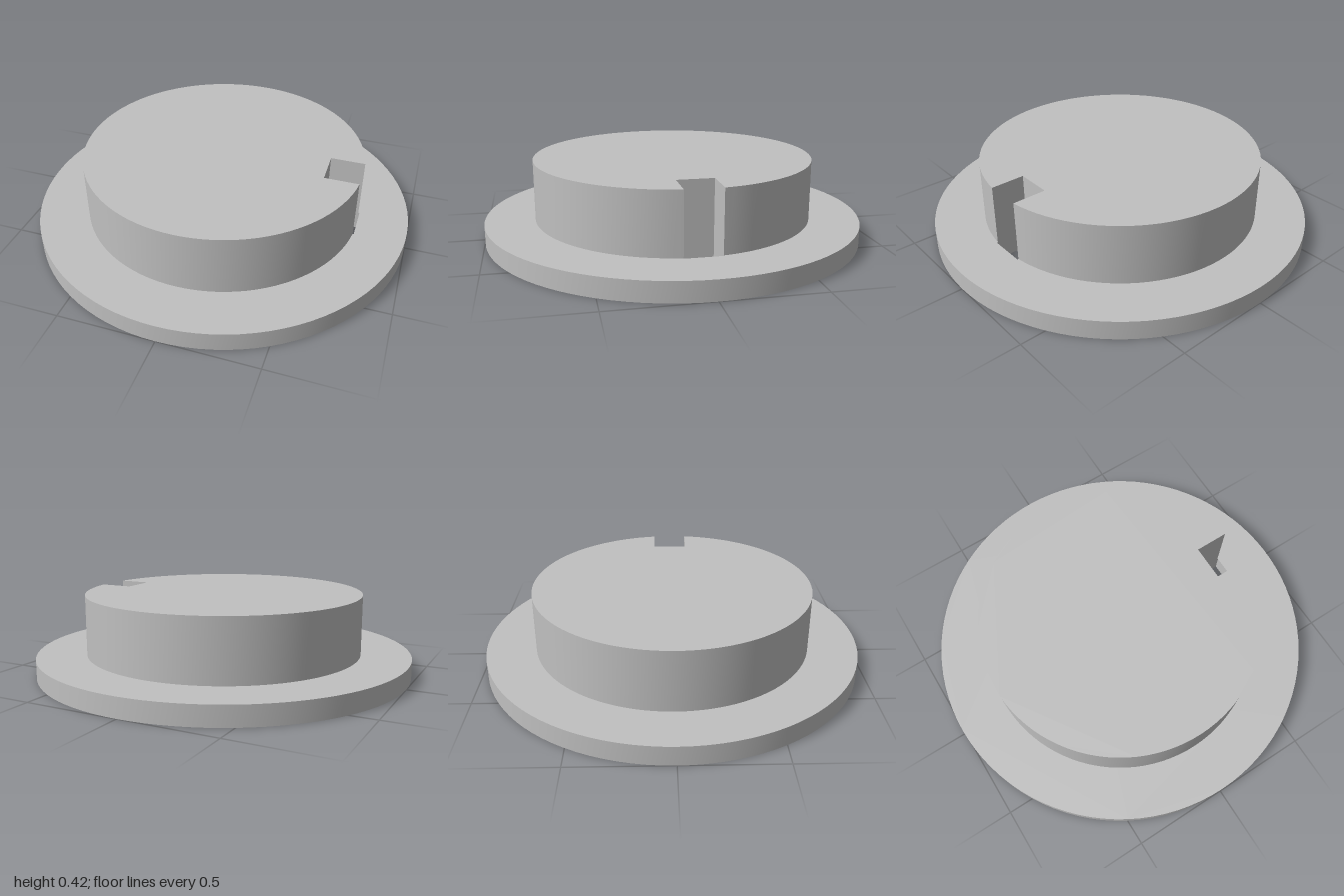
import * as THREE from 'three';
import { mergeGeometries, toCreasedNormals } from 'three/addons/utils/BufferGeometryUtils.js';

const FLANGE_R = 1, FLANGE_H = 0.1, BODY_R = 0.738, TOP = 0.418;
const SLOT_X = 0.555, SLOT_W = 0.093;               // keyway: inner edge and half width
const BORE_R = 0.33, CHAMFER = 0.02, BORE_TOP = 0.36, FLAT = 0.284;

// Counter-clockwise arc as plan points
function arc(r, from, to, n) {
  return Array.from({ length: n + 1 }, (_, i) => {
    const a = from + (to - from) * i / n;
    return new THREE.Vector2(r * Math.cos(a), r * Math.sin(a));
  });
}
const circle = (r, n = 96) => arc(r, 0, Math.PI * 2, n).slice(0, n);
const reversed = (pts) => [...pts].reverse();
const p = (x, y) => new THREE.Vector2(x, y);

// Flat face at height y, facing up (1) or down (-1)
function cap(outline, y, facing, holes = []) {
  const shape = new THREE.Shape(outline);
  shape.holes = holes.map((h) => new THREE.Path(h));
  const g = new THREE.ShapeGeometry(shape);
  g.rotateX(-facing * Math.PI / 2).translate(0, y, 0);
  g.deleteAttribute('uv');
  return g.toNonIndexed();
}

// Closed wall between two outlines; faces outward for counter-clockwise points
function wall(low, y0, y1, high = low) {
  const pos = [];
  low.forEach((a, i) => {
    const j = (i + 1) % low.length, b = low[j], c = high[j], d = high[i];
    pos.push(a.x, y0, -a.y, b.x, y0, -b.y, c.x, y1, -c.y);
    pos.push(a.x, y0, -a.y, c.x, y1, -c.y, d.x, y1, -d.y);
  });
  const g = new THREE.BufferGeometry();
  g.setAttribute('position', new THREE.Float32BufferAttribute(pos, 3));
  g.computeVertexNormals();
  return toCreasedNormals(g, 0.5);
}

export function createModel() {
  const grey = new THREE.MeshStandardMaterial({ color: 0xc0c0c0 });
  grey.name = 'light grey';
  const group = new THREE.Group();
  group.name = 'flangedCap';
  const add = (name, parts) => {
    const mesh = new THREE.Mesh(mergeGeometries(parts), grey);
    mesh.name = name;
    group.add(mesh);
  };

  // Plan outlines
  const rim = circle(FLANGE_R);
  const slot = [p(SLOT_X, -SLOT_W), p(BODY_R, -SLOT_W), p(BODY_R, SLOT_W), p(SLOT_X, SLOT_W)];
  const a = Math.asin(SLOT_W / BODY_R);
  const bodyArc = arc(BODY_R, a, Math.PI * 2 - a, 92);
  const notched = [...bodyArc, p(SLOT_X, -SLOT_W), p(SLOT_X, SLOT_W)];
  const bodyAndSlot = [...bodyArc, p(BODY_R, -SLOT_W), p(BODY_R, SLOT_W)];
  const b = Math.acos(FLAT / BORE_R);
  const dShape = arc(BORE_R, b - Math.PI, Math.PI - b, 64);
  const segment = arc(BORE_R, Math.PI - b, Math.PI + b, 20);
  const mouth = circle(BORE_R + CHAMFER), bore = circle(BORE_R);

  // Wide base disc with the keyway cut through it
  add('flange', [
    cap(rim, 0, -1, [mouth, slot]),
    cap(rim, FLANGE_H, 1, [bodyAndSlot]),
    wall(rim, 0, FLANGE_H),
    wall(reversed(slot), 0, FLANGE_H),
  ]);

  // Raised drum, notched by the keyway
  add('drum', [cap(notched, TOP, 1), wall(notched, FLANGE_H, TOP)]);

  // Blind D-shaped bore with a chamfered round mouth
  add('shaftBore', [
    wall(reversed(mouth), 0, CHAMFER, reversed(bore)),
    cap(segment, CHAMFER, -1),
    wall(reversed(dShape), CHAMFER, BORE_TOP),
    cap(dShape, BORE_TOP, -1),
  ]);

  return group;
}
